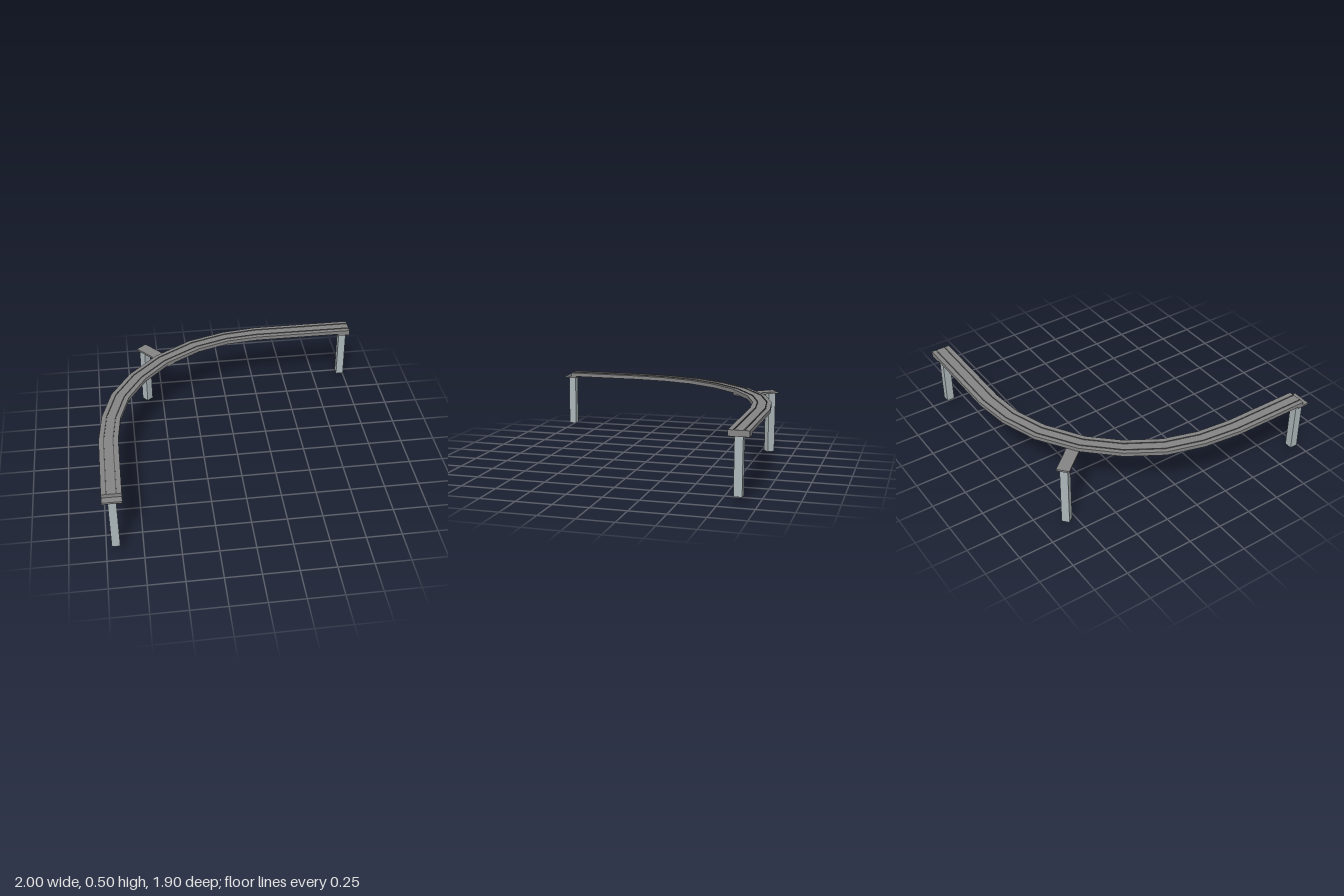
import * as THREE from 'three';

const concrete = new THREE.MeshStandardMaterial({ color: 0x858585 });
concrete.name = 'concrete grey';
const pillar = new THREE.MeshStandardMaterial({ color: 0xadb7ba });
pillar.name = 'pale pillar grey';
const steel = new THREE.MeshStandardMaterial({ color: 0x5c5c5c });
steel.name = 'rail grey';

// Plan of the curved deck, [x, z], from the right-hand end round to the front end
const outer = [[1, -0.955], [0.26, -0.955], [0, -0.92], [-0.27, -0.83], [-0.54, -0.655],
  [-0.75, -0.435], [-0.895, -0.195], [-0.97, 0.067], [-1, 0.335], [-1, 0.9]];
const inner = [[1, -0.815], [0.26, -0.815], [0.03, -0.79], [-0.205, -0.71], [-0.46, -0.55],
  [-0.635, -0.365], [-0.77, -0.14], [-0.84, 0.095], [-0.865, 0.335], [-0.865, 0.9]];

// Sweeps a rectangle along the plan; u runs from 0 (outer edge) to 1 (inner edge)
function sweep(name, material, u0, u1, y0, y1) {
  const corners = [[u0, y0], [u0, y1], [u1, y1], [u1, y0]];
  const rings = outer.map(([ox, oz], k) => corners.map(([u, y]) =>
    [ox + (inner[k][0] - ox) * u, y, oz + (inner[k][1] - oz) * u]));
  const pos = [];
  const quad = (a, b, c, d) => pos.push(...a, ...b, ...c, ...a, ...c, ...d);
  for (let k = 0; k < rings.length - 1; k++) {
    for (let j = 0; j < 4; j++) {
      const n = (j + 1) % 4;
      quad(rings[k][j], rings[k + 1][j], rings[k + 1][n], rings[k][n]);
    }
  }
  quad(...rings[0]);
  quad(...[...rings[rings.length - 1]].reverse());
  const geometry = new THREE.BufferGeometry();
  geometry.setAttribute('position', new THREE.Float32BufferAttribute(pos, 3));
  geometry.computeVertexNormals();
  const mesh = new THREE.Mesh(geometry, material);
  mesh.name = name;
  return mesh;
}

function box(name, material, w, h, d, x, y, z, turn = 0) {
  const mesh = new THREE.Mesh(new THREE.BoxGeometry(w, h, d), material);
  mesh.position.set(x, y, z);
  mesh.rotation.y = turn;
  mesh.name = name;
  return mesh;
}

export function createModel() {
  const model = new THREE.Group();
  model.name = 'curvedViaduct';

  // Deck and its two slim rails
  model.add(sweep('deck', concrete, 0, 1, 0.467, 0.495));
  for (const u of [0.25, 0.73]) {
    model.add(sweep('rail', steel, u - 0.025, u + 0.025, 0.494, 0.5));
  }

  // Bearing caps under the two ends, and the outrigger beam at the bend
  const turn = Math.atan2(0.22, 0.26);
  model.add(box('frontCap', concrete, 0.135, 0.014, 0.09, -0.9325, 0.461, 0.905));
  model.add(box('sideCap', concrete, 0.09, 0.014, 0.14, 0.955, 0.461, -0.885));
  model.add(box('outriggerBeam', concrete, 0.09, 0.014, 0.34, -0.532, 0.461, -0.71, turn));

  // Square columns; the middle one reaches lower
  const column = (name, x, z, bottom, angle) => {
    model.add(box(name, pillar, 0.056, 0.455 - bottom, 0.056, x, (0.455 + bottom) / 2, z, angle));
  };
  column('frontColumn', -0.933, 0.906, 0.065, 0);
  column('sideColumn', 0.952, -0.883, 0.065, 0);
  column('middleColumn', -0.618, -0.808, 0, turn);

  return model;
}
